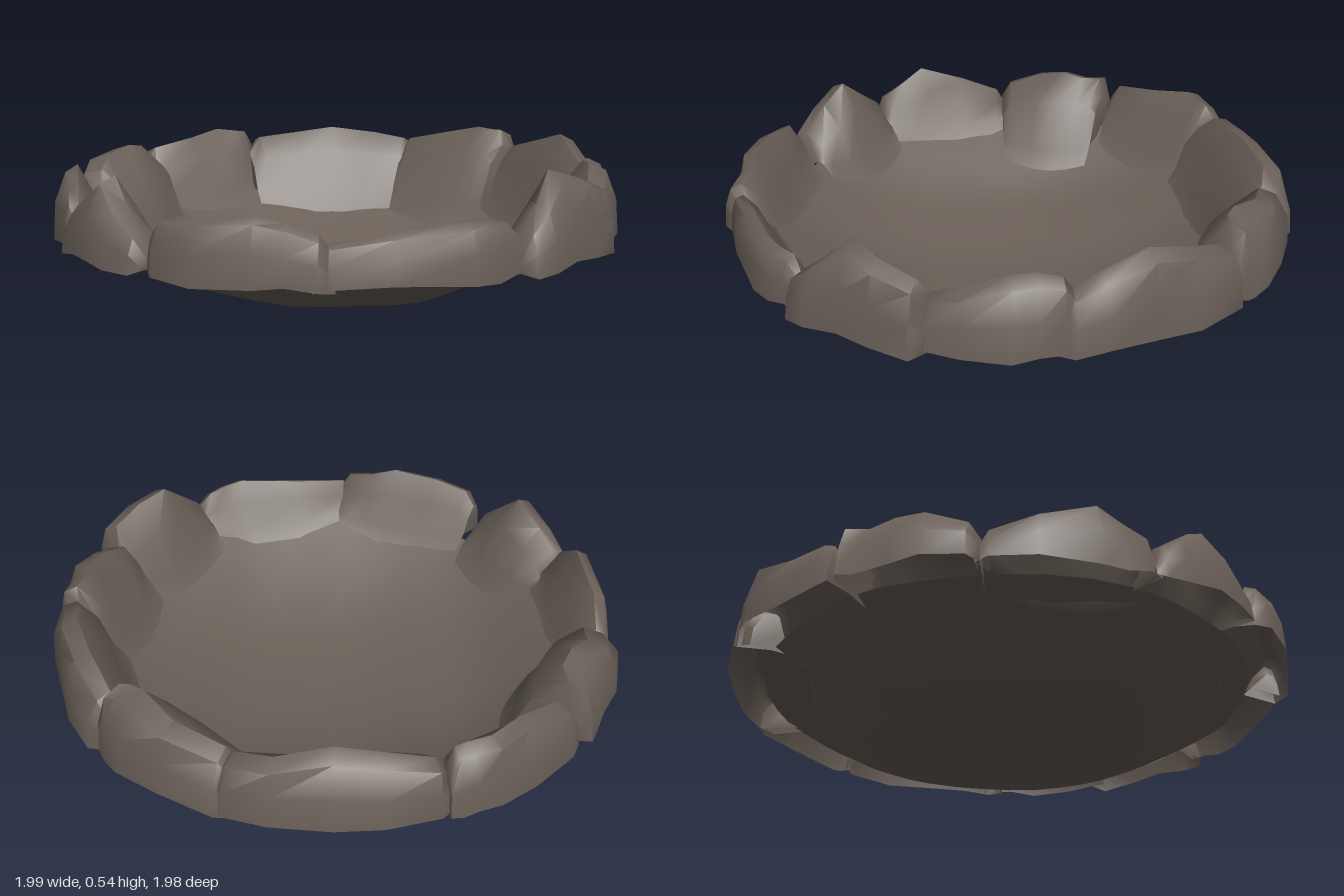
import * as THREE from 'three';
import { mergeVertices, toCreasedNormals } from 'three/addons/utils/BufferGeometryUtils.js';

const { lerp } = THREE.MathUtils;
const RIM_R = 0.85;
const bowlY = r => Math.min(0.265, 0.25 * Math.pow(r / 0.83, 2.2));

// Rim rocks: start and end angle in degrees (from +x towards +z), outer and inner radius,
// top height at start, peak and end, and where the peak lies along the rock
const rocks = [
  ['frontRock', 88.5, 116, 0.99, 0.76, 0.34, 0.52, 0.36, 0.5],
  ['frontLeftRock', 51, 87, 0.99, 0.8, 0.4, 0.46, 0.43, 0.4],
  ['leftFrontRock', 14, 55, 0.98, 0.82, 0.41, 0.43, 0.38, 0.3],
  ['leftRock', -15, 16, 1.0, 0.76, 0.46, 0.54, 0.36, 0.55],
  ['leftBackRock', -42, -12, 0.98, 0.74, 0.48, 0.49, 0.4, 0.4],
  ['backLeftRock', -80, -38, 0.98, 0.75, 0.43, 0.53, 0.42, 0.55],
  ['backRock', -110, -78, 0.98, 0.69, 0.43, 0.51, 0.5, 0.75],
  ['backRightRock', -153, -106, 0.97, 0.71, 0.43, 0.48, 0.43, 0.5],
  ['rightRock', 177, 209, 0.99, 0.77, 0.43, 0.48, 0.46, 0.7],
  ['rightFrontRock', 148, 176, 0.99, 0.68, 0.41, 0.48, 0.45, 0.6],
  ['frontRightRock', 114, 149, 0.97, 0.8, 0.37, 0.5, 0.36, 0.35],
];

// Hollow rock lofted along the rim, open underneath, narrower and lower at its two ends
function rockGeometry([, start, end, outer, inner, h0, hPeak, h1, peak], seed) {
  const pos = [], index = [], n = 7;
  const stations = [0, 0.08, peak * 0.6, peak, (1 + peak) / 2, 0.93, 1];
  stations.forEach((t, j) => {
    const a = lerp(start, end, t) * Math.PI / 180;
    const tip = t === 0 || t === 1 ? 1 : 0;
    const ro = outer - 0.025 * tip + 0.01 * Math.sin(seed * 3 + j * 1.9);
    const ri = inner + 0.05 * (2 * t - 1) ** 2;
    const h = (t < peak ? lerp(h0, hPeak, t / peak) : lerp(hPeak, h1, (t - peak) / (1 - peak))) - 0.05 * tip;
    const w = ro - ri, base = 0.255 + 0.01 * Math.sin(seed * 2.3 + j * 1.7);
    const up = h - base, lean = 0.07 * Math.sin(seed * 1.9 + j * 2.1);
    const foot = Math.min(ri - 0.05, 0.8);
    const section = [
      [ro, base],
      [ro - 0.04 * w, base + 0.5 * up],
      [ro - (0.2 + lean) * w, base + 0.9 * up],
      [ro - (0.44 + lean) * w, h],
      [ri + 0.22 * w, base + 0.62 * up],
      [ri, lerp(bowlY(ri), base, 0.3) + 0.02],
      [foot, bowlY(foot)],
    ];
    section.forEach(([r, y]) => pos.push(r * Math.cos(a), y, r * Math.sin(a)));
    if (j) for (let k = 0; k < n - 1; k++) {
      const p = (j - 1) * n + k, q = p + 1;
      index.push(p, q, p + n, q, q + n, p + n);
    }
  });
  // End caps
  const last = (stations.length - 1) * n;
  for (let k = 1; k < n - 2; k++) {
    index.push(0, k + 1, k);
    index.push(last, last + k, last + k + 1);
  }
  const g = new THREE.BufferGeometry();
  g.setAttribute('position', new THREE.Float32BufferAttribute(pos, 3));
  g.setIndex(index);
  return toCreasedNormals(g, 0.9);
}

// Shallow, slightly dented shell
function bowlGeometry() {
  const profile = [];
  for (let i = 0; i <= 12; i++) {
    const r = RIM_R * i / 12;
    profile.push(new THREE.Vector2(r, bowlY(r)));
  }
  const lathe = new THREE.LatheGeometry(profile, 40);
  lathe.deleteAttribute('uv');
  lathe.deleteAttribute('normal');
  const p = lathe.attributes.position;
  for (let i = 0; i < p.count; i++) {
    const x = p.getX(i), z = p.getZ(i), r = Math.hypot(x, z);
    const dent = 0.008 * Math.sin(7 * x + 2) * Math.sin(6 * z + 1) + 0.005 * Math.sin(13 * x - 9 * z);
    p.setY(i, Math.max(0, p.getY(i) + dent * Math.min(1, r * 2)));
  }
  const g = mergeVertices(lathe, 1e-4);
  g.computeVertexNormals();
  return g;
}

export function createModel() {
  const stone = new THREE.MeshStandardMaterial({ color: 0x695f57, side: THREE.DoubleSide });
  stone.name = 'dark brown stone';
  const model = new THREE.Group();
  model.name = 'stoneBowl';

  const add = (name, geometry) => {
    const mesh = new THREE.Mesh(geometry, stone);
    mesh.name = name;
    model.add(mesh);
  };
  add('bowl', bowlGeometry());
  rocks.forEach((rock, i) => add(rock[0], rockGeometry(rock, i + 1)));
  return model;
}
